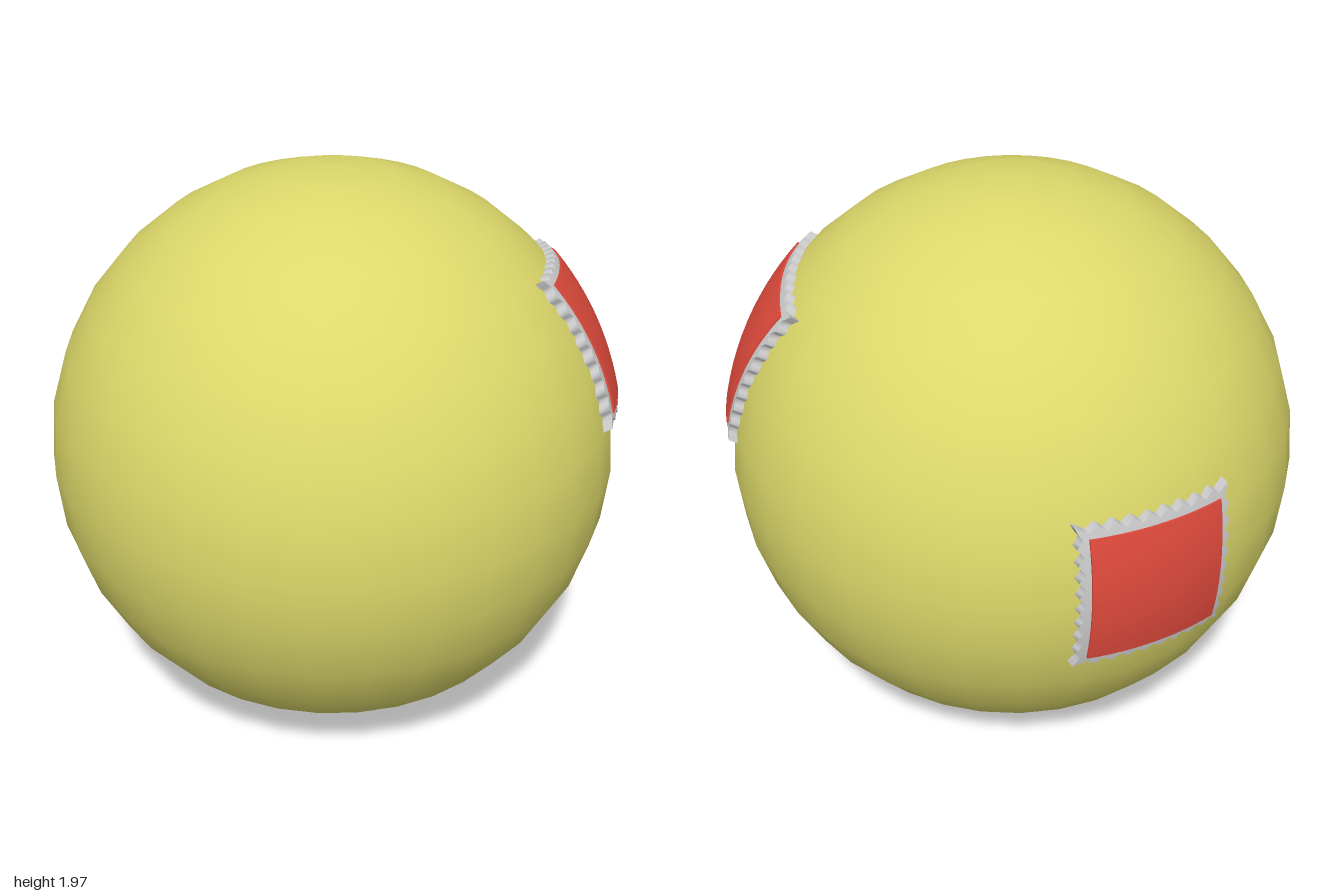
import * as THREE from 'three';

const CENTRE = new THREE.Vector3(0, 0.99, 0.015);
const RADIUS = 0.985;
const BUMPS = 9;

// Thin slab bent over a sphere; a positive wave gives it a scalloped rim
function curvedSlab(w, h, inner, outer, segs, wave) {
  const geo = new THREE.BoxGeometry(w, h, 1, segs, segs, 1);
  const pos = geo.attributes.position;
  const ripple = (t) => wave * Math.cos(2 * Math.PI * BUMPS * t);
  for (let i = 0; i < pos.count; i++) {
    const x0 = pos.getX(i), y0 = pos.getY(i);
    let x = x0, y = y0;
    if (Math.abs(x0) > w / 2 - 1e-4) x += Math.sign(x0) * ripple(y0 / h + 0.5);
    if (Math.abs(y0) > h / 2 - 1e-4) y += Math.sign(y0) * ripple(x0 / w + 0.5);
    const r = pos.getZ(i) > 0 ? outer : inner;
    pos.setXYZ(i, x, y, Math.sqrt(r * r - x * x - y * y));
  }
  geo.computeVertexNormals();
  return geo;
}

// Stamp lying on the ball, facing along normal, with its top edge towards up
function makeStamp(name, normal, up, w, h, paperMat, redMat) {
  const stamp = new THREE.Group();
  stamp.name = name;
  const paper = new THREE.Mesh(curvedSlab(w, h, 0.96, 1.008, BUMPS * 4, 0.01), paperMat);
  paper.name = 'scallopedPaper';
  const panel = new THREE.Mesh(curvedSlab(w - 0.055, h - 0.055, 0.99, 1.014, 12, 0), redMat);
  panel.name = 'redPanel';
  stamp.add(paper, panel);

  const n = normal.clone().normalize();
  const right = up.clone().cross(n).normalize();
  const top = n.clone().cross(right);
  stamp.quaternion.setFromRotationMatrix(new THREE.Matrix4().makeBasis(right, top, n));
  stamp.position.copy(CENTRE);
  return stamp;
}

export function createModel() {
  const group = new THREE.Group();
  group.name = 'stampedBall';
  const yellow = new THREE.MeshStandardMaterial({ color: 0xdcd86a });
  const red = new THREE.MeshStandardMaterial({ color: 0xe04a3c });
  const grey = new THREE.MeshStandardMaterial({ color: 0xcccccc });

  // Ball
  const ball = new THREE.Mesh(new THREE.SphereGeometry(RADIUS, 32, 16), yellow);
  ball.name = 'ball';
  ball.position.copy(CENTRE);
  group.add(ball);

  // Stamps on the side and on the back
  group.add(
    makeStamp('sideStamp', new THREE.Vector3(0.821, 0.462, 0.336),
      new THREE.Vector3(-0.19, 0.49, -0.14), 0.52, 0.535, grey, red),
    makeStamp('backStamp', new THREE.Vector3(-0.035, 0.02, -1),
      new THREE.Vector3(0, 1, 0), 0.515, 0.505, grey, red)
  );
  return group;
}
